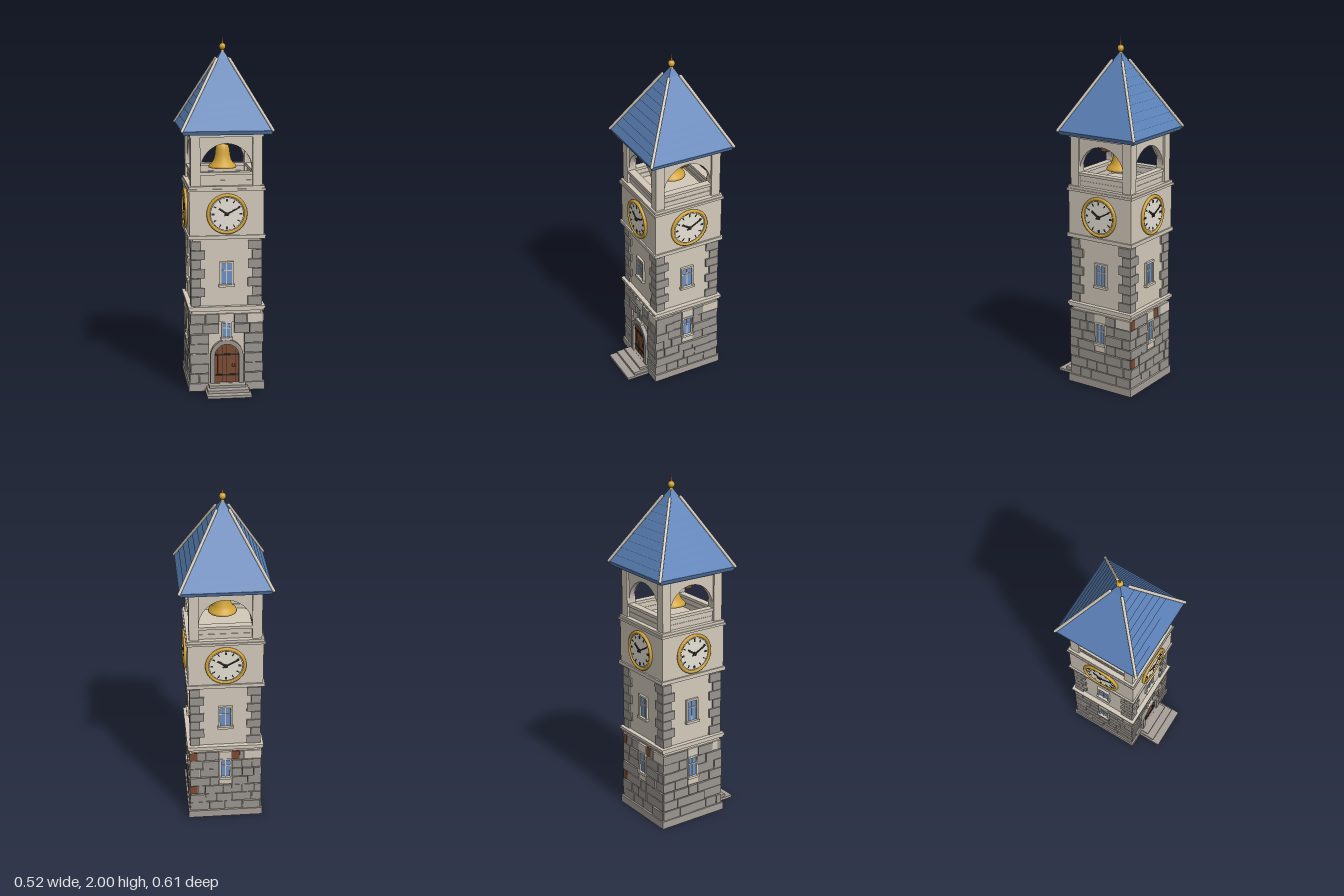
import * as THREE from 'three';

const mat = (name, color, side = THREE.FrontSide) => {
  const m = new THREE.MeshStandardMaterial({ color, side });
  m.name = name;
  return m;
};

export function createModel() {
  const cream = mat('cream plaster', 0xd3cabb);
  const stone = mat('grey stone', 0x9a958f);
  const stepStone = mat('step stone', 0xa79f98);
  const roofBlue = mat('blue roof', 0x5a80b6);
  const gold = mat('gold', 0xd2a437, THREE.DoubleSide);
  const wood = mat('brown wood', 0x7d4b31);
  const iron = mat('dark iron', 0x2b2927);
  const dialWhite = mat('dial ivory', 0xe9e4d8);
  const glass = mat('window glass', 0x6a92c6);

  const model = new THREE.Group();
  model.name = 'clockTower';
  const tower = new THREE.Group();
  tower.name = 'tower';
  tower.position.z = -0.047;
  model.add(tower);

  let seed = 7;
  const rand = () => (seed = (seed * 16807) % 2147483647) / 2147483647;

  const add = (parent, name, geo, material) => {
    const m = new THREE.Mesh(geo, material);
    m.name = name;
    parent.add(m);
    return m;
  };
  // Box given by its minimum and maximum corners
  const box = (parent, name, material, x0, x1, y0, y1, z0, z1) => {
    const m = add(parent, name, new THREE.BoxGeometry(x1 - x0, y1 - y0, z1 - z0), material);
    m.position.set((x0 + x1) / 2, (y0 + y1) / 2, (z0 + z1) / 2);
    return m;
  };
  const slab = (name, material, half, y0, y1) => box(tower, name, material, -half, half, y0, y1, -half, half);
  const extrude = (parent, name, material, shape, z, depth) => {
    const geo = new THREE.ExtrudeGeometry(shape, { depth, bevelEnabled: false, curveSegments: 20 });
    geo.translate(0, 0, z);
    return add(parent, name, geo, material);
  };
  // Outline with a rounded head
  const arch = (half, y0, spring, rise, Type = THREE.Shape) => {
    const s = new Type();
    s.moveTo(-half, y0);
    s.lineTo(half, y0);
    s.lineTo(half, spring);
    s.absellipse(0, spring, half, rise, 0, Math.PI, false, 0);
    s.lineTo(-half, y0);
    return s;
  };
  const rect = (half, y0, y1) => new THREE.Shape([[-half, y0], [half, y0], [half, y1], [-half, y1]].map(p => new THREE.Vector2(...p)));

  // Storeys and string courses
  slab('plinth', stepStone, 0.216, 0, 0.045);
  slab('baseWall', cream, 0.197, 0.045, 0.47);
  slab('baseCornice', cream, 0.212, 0.467, 0.478);
  slab('baseCorniceTop', cream, 0.218, 0.478, 0.494);
  slab('shaftWall', cream, 0.191, 0.49, 0.885);
  slab('shaftCornice', cream, 0.218, 0.882, 0.903);
  slab('clockStorey', cream, 0.209, 0.9, 1.152);
  slab('clockCornice', cream, 0.218, 1.152, 1.165);
  slab('clockCorniceTop', cream, 0.212, 1.165, 1.18);
  slab('belfryCap', cream, 0.206, 1.452, 1.47);

  // Front steps
  [[0.126, 0.352, 0.015], [0.117, 0.307, 0.031], [0.105, 0.262, 0.045]].forEach(([w, z, y], i) =>
    box(tower, 'step' + (i + 1), stepStone, -w, w, i * 0.015, y, 0.19, z));

  // Window with frame, glazing bars, sill and lintel
  const windowUnit = (face, name, w, y0, y1, z, f) => {
    const g = new THREE.Group();
    g.name = name;
    face.add(g);
    box(g, 'pane', glass, -w + f, w - f, y0, y1, z - 0.01, z + 0.004);
    for (const s of [-1, 1]) box(g, 'jamb', cream, s * (w - f / 2) - f / 2, s * (w - f / 2) + f / 2, y0, y1, z - 0.01, z + 0.012);
    box(g, 'lintel', cream, -w, w, y1 - f, y1 + 0.002, z - 0.01, z + 0.014);
    box(g, 'sill', cream, -w - 0.005, w + 0.005, y0 - 0.012, y0 + 0.002, z - 0.01, z + 0.02);
    box(g, 'mullion', cream, -0.003, 0.003, y0, y1 - f, z, z + 0.008);
    box(g, 'transom', cream, -w + f, w - f, y0 + (y1 - y0) * 0.6, y0 + (y1 - y0) * 0.6 + 0.005, z, z + 0.008);
  };

  // Courses of masonry, leaving an opening in the middle
  const masonry = (face, side) => {
    const h = 0.058;
    const brownSpots = [[-0.13, 6], [-0.15, 2], [0.1, 6]];
    for (let r = 0; r < 7; r++) {
      const gap = side === 0 ? (r < 5 ? 0.1 : 0.042) : (r > 2 ? 0.037 : 0);
      const runs = gap ? [[-0.206, -gap], [gap, 0.206]] : [[-0.206, 0.206]];
      for (const [a, b] of runs) {
        let x = a;
        while (x < b - 0.001) {
          let end = x + 0.05 + rand() * 0.07;
          if (b - end < 0.035) end = b;
          const brown = side === 2 && brownSpots.some(([sx, sr]) => sr === r && sx >= x && sx < end);
          const pale = r === 6 && end === b && b > 0.2;
          const y = 0.045 + r * h;
          const x1 = brown ? Math.min(end, x + 0.045) : end;
          box(face, 'stoneBlock', brown ? wood : pale ? cream : stone, x + 0.0015, x1 - 0.0015,
            y + 0.001, y + h - 0.002 - rand() * 0.003, 0.18, 0.204 + rand() * 0.008);
          if (brown && end - x1 > 0.01) box(face, 'stoneBlock', stone, x1, end - 0.0015, y + 0.001, y + h - 0.003, 0.18, 0.207);
          x = end;
        }
      }
    }
  };

  // Clock dial with markers and hands
  const clock = (face) => {
    const g = new THREE.Group();
    g.name = 'clock';
    g.position.set(0, 1.025, 0.209);
    face.add(g);
    const disc = (name, m, r, d) => add(g, name, new THREE.CylinderGeometry(r, r, d, 48).rotateX(Math.PI / 2).translate(0, 0, d / 2), m);
    disc('dialBack', gold, 0.112, 0.006);
    disc('dial', dialWhite, 0.1, 0.009);
    add(g, 'dialRim', new THREE.TorusGeometry(0.105, 0.0095, 10, 48), gold).position.z = 0.007;
    add(g, 'minuteTrack', new THREE.RingGeometry(0.09, 0.0925, 48), iron).position.z = 0.0095;
    const bar = (name, angle, r0, r1, w, z) => {
      const m = add(g, name, new THREE.BoxGeometry(w, r1 - r0, 0.003).translate(0, (r0 + r1) / 2, 0), iron);
      m.position.z = z;
      m.rotation.z = -angle;
    };
    for (let i = 0; i < 12; i++) bar('hourMarker', i * Math.PI / 6, 0.07, 0.086, i % 3 ? 0.006 : 0.01, 0.0095);
    bar('hourHand', -0.96, -0.012, 0.055, 0.011, 0.012);
    bar('minuteHand', 1.08, -0.018, 0.082, 0.008, 0.014);
    disc('handBoss', iron, 0.01, 0.017);
  };

  // The four sides
  for (let side = 0; side < 4; side++) {
    const face = new THREE.Group();
    face.name = ['front', 'left', 'back', 'right'][side] + 'Side';
    face.rotation.y = side * Math.PI / 2;
    tower.add(face);
    masonry(face, side);
    windowUnit(face, 'shaftWindow', 0.04, 0.617, 0.748, 0.191, 0.01);
    if (side === 0) {
      windowUnit(face, 'doorWindow', 0.028, 0.31, 0.4, 0.199, 0.006);
      box(face, 'windowHead', cream, -0.04, 0.04, 0.402, 0.45, 0.19, 0.208);
    } else {
      windowUnit(face, 'baseWindow', 0.034, 0.275, 0.4, 0.199, 0.009);
      box(face, 'windowHead', cream, -0.035, 0.035, 0.402, 0.45, 0.19, 0.21);
      box(face, 'windowFoot', cream, -0.035, 0.035, 0.225, 0.262, 0.19, 0.21);
    }
    clock(face);

    // Belfry opening: corner post, arch, parapet and rail
    box(face, 'cornerPost', cream, 0.146, 0.2, 1.175, 1.455, 0.146, 0.2);
    const spandrel = rect(0.15, 1.2, 1.455);
    spandrel.holes.push(arch(0.146, 1.21, 1.262, 0.152, THREE.Path));
    extrude(face, 'belfryArch', cream, spandrel, 0.158, 0.03);
    box(face, 'parapet', cream, -0.15, 0.15, 1.178, 1.243, 0.162, 0.185);
    box(face, 'parapetRail', cream, -0.147, 0.147, 1.24, 1.256, 0.152, 0.194);

    // Quoins wrapping the corner
    for (let i = 0; i < 7; i++) {
      const a = i % 2 ? 0.056 : 0.08, b = i % 2 ? 0.08 : 0.056, y = 0.497 + i * 0.0535;
      box(face, 'quoin', stone, 0.201 - a, 0.201, y, y + 0.05, 0.201 - b, 0.201);
    }
  }

  // Arched door
  const door = new THREE.Group();
  door.name = 'door';
  tower.add(door);
  const surround = arch(0.094, 0.045, 0.205, 0.094);
  surround.holes.push(arch(0.069, 0.046, 0.205, 0.069, THREE.Path));
  extrude(door, 'doorSurround', stone, surround, 0.19, 0.03);
  extrude(door, 'doorLeaf', wood, arch(0.07, 0.045, 0.205, 0.07), 0.19, 0.014);
  for (let i = -2; i <= 2; i++) box(door, 'plankGap', iron, i * 0.025 - 0.001, i * 0.025 + 0.001, 0.046, 0.262 - Math.abs(i) * 0.012, 0.2, 0.205);
  for (const y of [0.085, 0.205]) box(door, 'strap', iron, -0.067, 0.067, y, y + 0.009, 0.2, 0.208);
  add(door, 'handle', new THREE.TorusGeometry(0.009, 0.0025, 6, 16), iron).position.set(0.04, 0.145, 0.207);

  // Bell on its beam
  box(tower, 'bellBeam', wood, -0.165, 0.165, 1.388, 1.422, -0.02, 0.02);
  const bellProfile = [[0, 1.392], [0.022, 1.391], [0.034, 1.382], [0.04, 1.36], [0.043, 1.33], [0.05, 1.3], [0.062, 1.28], [0.077, 1.268], [0.08, 1.256], [0.072, 1.256], [0.05, 1.28], [0.036, 1.33]];
  const lathe = (pts, n) => new THREE.LatheGeometry(pts.map(p => new THREE.Vector2(...p)).reverse(), n);
  add(tower, 'bell', lathe(bellProfile, 32), gold);
  add(tower, 'clapper', new THREE.SphereGeometry(0.016, 12, 8), iron).position.y = 1.262;

  // Pyramid roof in overlapping courses
  const frustum = (name, r0, r1, y0, y1) => {
    const geo = new THREE.CylinderGeometry(r1 * Math.SQRT2, r0 * Math.SQRT2, y1 - y0, 4).rotateY(Math.PI / 4).toNonIndexed();
    geo.computeVertexNormals();
    add(tower, name, geo, roofBlue).position.y = (y0 + y1) / 2;
  };
  const roofHalf = y => 0.246 * (1.92 - y) / 0.432;
  frustum('eaves', 0.243, 0.252, 1.468, 1.49);
  const courses = 9, rise = 0.0425;
  for (let i = 0; i < courses; i++) {
    const y = 1.488 + i * rise;
    frustum('roofCourse', roofHalf(y) + 0.005, roofHalf(y + rise) - 0.001, y, y + rise);
  }
  frustum('roofPeak', roofHalf(1.87) + 0.003, 0.001, 1.87, 1.922);

  // Hip ridges
  for (const sx of [-1, 1]) for (const sz of [-1, 1]) {
    const path = new THREE.LineCurve3(new THREE.Vector3(sx * 0.251, 1.492, sz * 0.251), new THREE.Vector3(sx * 0.036, 1.869, sz * 0.036));
    add(tower, 'hipRidge', new THREE.TubeGeometry(path, 1, 0.0085, 10), cream);
    for (const t of [0, 1]) add(tower, 'hipEnd', new THREE.SphereGeometry(0.0085, 10, 8), cream).position.copy(path.getPoint(t));
  }

  // Finial
  add(tower, 'finialCollar', new THREE.CylinderGeometry(0.007, 0.011, 0.016, 16), gold).position.y = 1.915;
  add(tower, 'finialBall', new THREE.SphereGeometry(0.019, 20, 14), gold).position.y = 1.936;
  add(tower, 'finialSpike', new THREE.ConeGeometry(0.006, 0.05, 12), gold).position.y = 1.975;

  return model;
}
